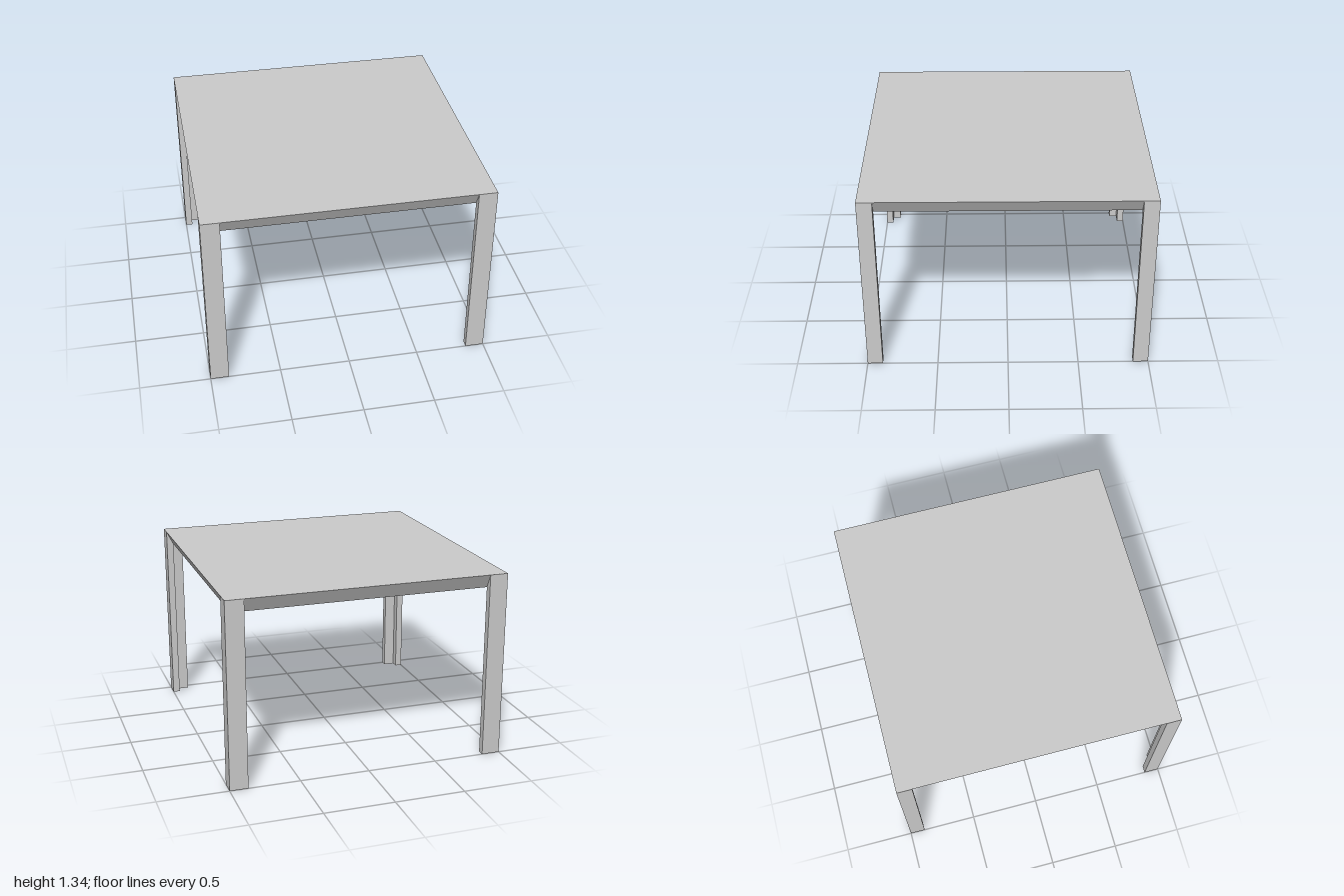
import * as THREE from 'three';

const HEIGHT = 1.342, TOP_THICK = 0.1, INSET = 0.05;
const LEG_X = 0.131, LEG_Z = 0.108, LEG_WALL = 0.05;

export function createModel() {
  const table = new THREE.Group();
  table.name = 'table';
  const material = new THREE.MeshStandardMaterial({ color: 0xcccccc, flatShading: true });

  // Table top: a slab whose four sides slope inward towards the underside
  const slab = new THREE.BoxGeometry(2, TOP_THICK, 2);
  const pos = slab.attributes.position;
  for (let i = 0; i < pos.count; i++) {
    if (pos.getY(i) < 0) {
      pos.setX(i, pos.getX(i) * (1 - INSET));
      pos.setZ(i, pos.getZ(i) * (1 - INSET));
    }
  }
  slab.computeVertexNormals();
  const top = new THREE.Mesh(slab, material);
  top.name = 'tableTop';
  top.position.y = HEIGHT - TOP_THICK / 2;
  table.add(top);

  // Legs: L-shaped corner angles, flush with the table's outer edges
  for (const [sx, side] of [[1, 'Left'], [-1, 'Right']]) {
    for (const [sz, end] of [[1, 'front'], [-1, 'back']]) {
      const outline = [
        [1, 1], [1 - LEG_X, 1], [1 - LEG_X, 1 - LEG_WALL],
        [1 - LEG_WALL, 1 - LEG_WALL], [1 - LEG_WALL, 1 - LEG_Z], [1, 1 - LEG_Z],
      ].map(([x, z]) => new THREE.Vector2(sx * x, -sz * z));
      const geometry = new THREE.ExtrudeGeometry(new THREE.Shape(outline), {
        depth: HEIGHT - 0.001, bevelEnabled: false,
      });
      geometry.rotateX(-Math.PI / 2);
      const leg = new THREE.Mesh(geometry, material);
      leg.name = `${end}${side}Leg`;
      table.add(leg);
    }
  }
  return table;
}
